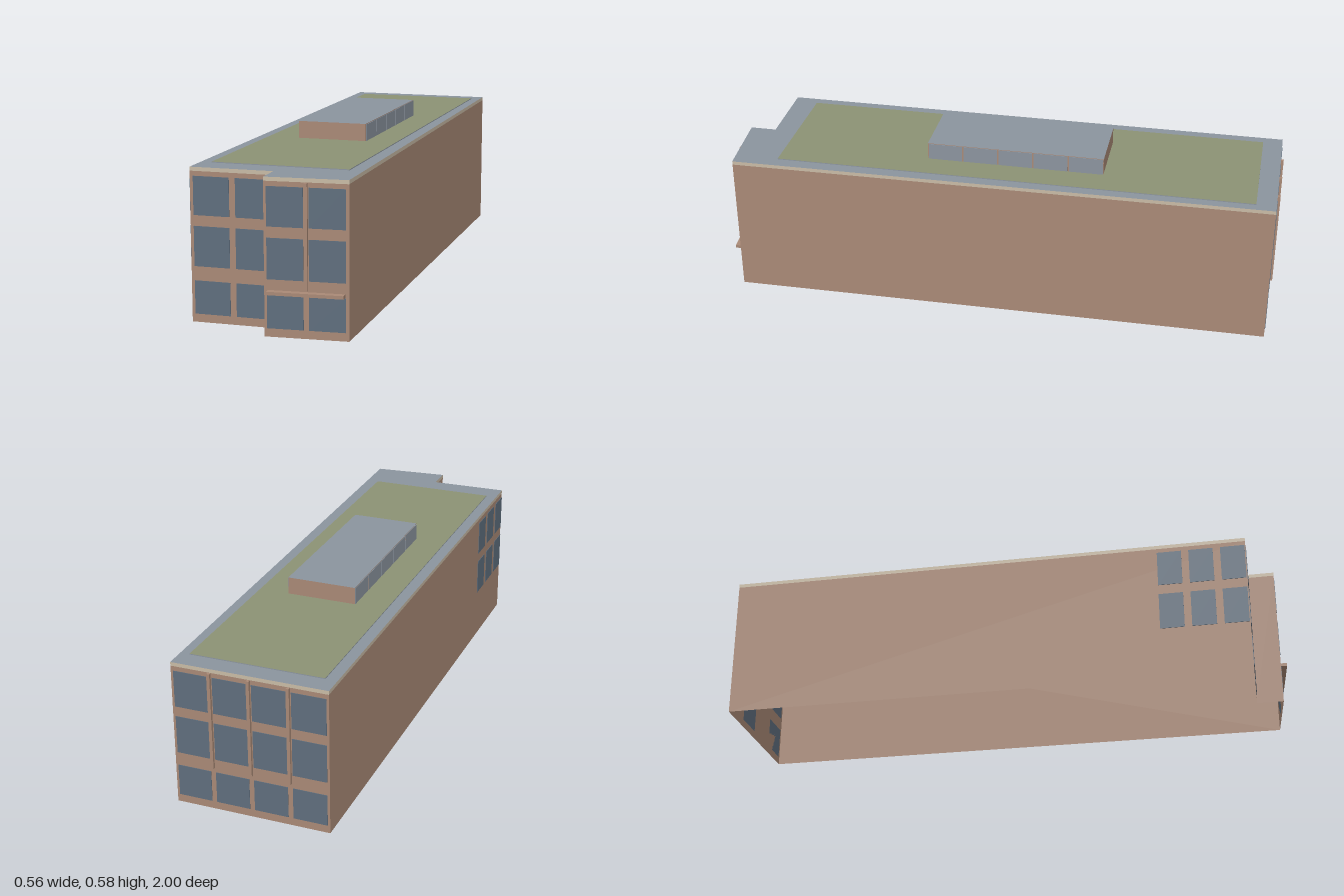
import * as THREE from 'three';

const mat = (name, color, side = THREE.FrontSide) => {
  const m = new THREE.MeshStandardMaterial({ color, side });
  m.name = name;
  return m;
};

export function createModel() {
  const brick = mat('brick', 0xa98976, THREE.DoubleSide);
  const cream = mat('cream trim', 0xc8bba5, THREE.DoubleSide);
  const glass = mat('window glass', 0x5f6e7d);
  const grey = mat('roof grey', 0x8b949e, THREE.DoubleSide);
  const green = mat('roof planting', 0x8c9274);

  const model = new THREE.Group();
  model.name = 'building';
  const H = 0.516, TRIM = 0.503;

  // Box given by its minimum corner and size
  const box = (parent, name, material, x, y, z, w, h, d) => {
    const mesh = new THREE.Mesh(new THREE.BoxGeometry(w, h, d), material);
    mesh.position.set(x + w / 2, y + h / 2, z + d / 2);
    mesh.name = name;
    parent.add(mesh);
    return mesh;
  };

  // Footprint corners (x, z), each wall running left to right as seen from outside
  const corners = [
    [-0.279, 0.89], [0.006, 0.885], [0.006, 0.979],
    [0.28, 0.956], [0.265, -0.99], [-0.281, -0.99],
  ];
  const names = ['frontWing', 'notchSide', 'frontBay', 'rightSide', 'backSide', 'leftSide'];

  // Walls: local x runs along the wall, local z points outward; open underneath
  const walls = {};
  corners.forEach(([x, z], i) => {
    const [x2, z2] = corners[(i + 1) % corners.length];
    const length = Math.hypot(x2 - x, z2 - z);
    const wall = new THREE.Group();
    wall.name = names[i];
    wall.position.set(x, 0, z);
    wall.rotation.y = Math.atan2(z - z2, x2 - x);
    const strip = (name, material, y0, y1) => {
      const mesh = new THREE.Mesh(new THREE.PlaneGeometry(length, y1 - y0), material);
      mesh.position.set(length / 2, (y0 + y1) / 2, 0);
      mesh.name = name;
      wall.add(mesh);
    };
    strip('wall', brick, 0, TRIM);
    strip('topTrim', cream, TRIM, H);
    model.add(wall);
    walls[names[i]] = wall;
  });

  // Windows: columns as [start, width], rows as [bottom, top]
  const rows = [[0.028, 0.14], [0.188, 0.322], [0.358, 0.487]];
  const windows = (wall, columns, floors) => {
    for (const [x, w] of columns)
      for (const [y0, y1] of floors) box(wall, 'window', glass, x, y0, 0, w, y1 - y0, 0.002);
  };
  windows(walls.frontWing, [[0.011, 0.123], [0.155, 0.123]], rows);
  windows(walls.frontBay, [[0.009, 0.119], [0.146, 0.119]], rows);
  windows(walls.backSide, [0, 1, 2, 3].map((i) => [0.009 + i * 0.1365, 0.119]), rows);
  windows(walls.leftSide, [0, 1, 2].map((i) => [1.567 + i * 0.112, 0.086]), rows.slice(1));

  // Vertical fins and the entrance canopy
  const fin = (wall, x) => box(wall, 'fin', brick, x - 0.0055, 0.157, 0, 0.011, 0.345, 0.01);
  fin(walls.frontBay, 0.1375);
  for (let i = 1; i < 4; i++) fin(walls.backSide, i * 0.1365);
  box(walls.frontBay, 'canopy', brick, 0.012, 0.142, 0, 0.25, 0.011, 0.023);

  // Flat roof following the footprint
  const outline = new THREE.Shape(corners.map(([x, z]) => new THREE.Vector2(x, -z)));
  const roof = new THREE.Mesh(new THREE.ShapeGeometry(outline).rotateX(-Math.PI / 2), grey);
  roof.position.y = H;
  roof.name = 'roof';
  model.add(roof);

  // Planted bed with grey edges
  box(model, 'roofGarden', [grey, grey, green, grey, grey, grey], -0.24, H, -0.92, 0.472, 0.003, 1.72);

  // Rooftop housing with grey panels along both long sides
  const housing = new THREE.Group();
  housing.name = 'rooftopHousing';
  model.add(housing);
  box(housing, 'housingBody', [brick, brick, grey, brick, brick, brick], -0.125, H, -0.375, 0.248, 0.064, 0.64);
  for (const x of [-0.127, 0.123])
    for (let i = 0; i < 5; i++)
      box(housing, 'sidePanel', grey, x, H + 0.003, -0.373 + i * 0.128, 0.002, 0.059, 0.122);

  return model;
}
